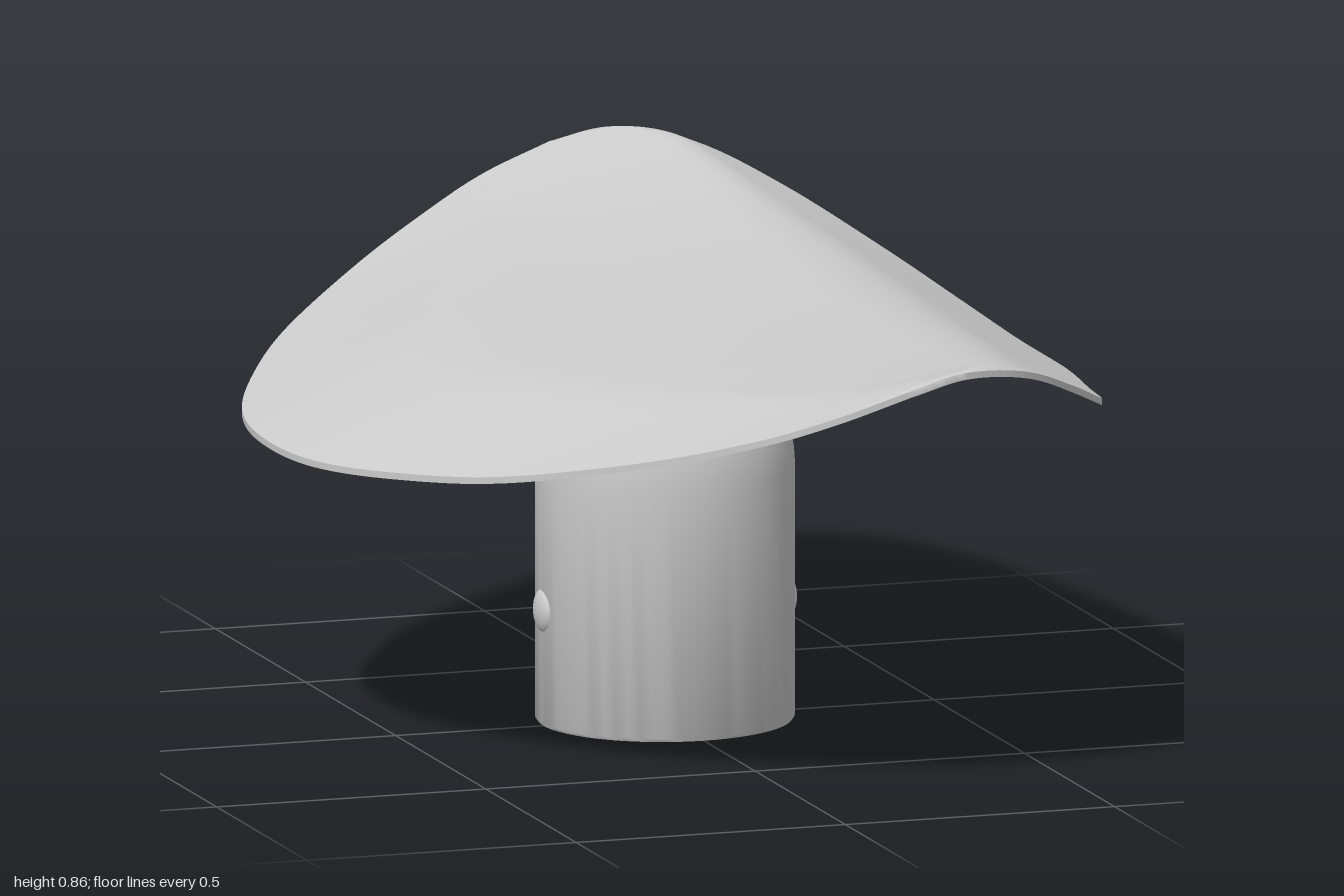
import * as THREE from 'three';
import { toCreasedNormals } from 'three/addons/utils/BufferGeometryUtils.js';

// Half of the canopy, one row per station along z:
// z, then x,y of the left rim, left fold, right fold and right rim
const STATIONS = [
  [0.00, -0.745, 0.550, -0.39, 0.683, 0.42, 0.750, 0.745, 0.580],
  [0.20, -0.718, 0.553, -0.36, 0.688, 0.42, 0.753, 0.722, 0.590],
  [0.40, -0.630, 0.570, -0.26, 0.700, 0.41, 0.762, 0.675, 0.623],
  [0.60, -0.500, 0.600, -0.13, 0.720, 0.385, 0.777, 0.605, 0.672],
  [0.80, -0.300, 0.658, 0.03, 0.758, 0.35, 0.805, 0.490, 0.745],
  [0.92, -0.135, 0.712, 0.12, 0.797, 0.31, 0.828, 0.365, 0.805],
  [0.98, -0.010, 0.758, 0.14, 0.810, 0.22, 0.828, 0.235, 0.825],
  [1.00, 0.120, 0.803, 0.12, 0.803, 0.12, 0.803, 0.120, 0.803],
];
const TILT = 0.033; // the back end sits a little higher than the front
const THICKNESS = 0.012;

// Lengthwise guide curve through one column of the stations
function guide(k) {
  const point = (s, side) =>
    new THREE.Vector3(s[1 + 2 * k], s[2 + 2 * k] - TILT * s[0] * side, s[0] * side);
  const back = STATIONS.slice(1).reverse().map((s) => point(s, -1));
  const front = STATIONS.map((s) => point(s, 1));
  return new THREE.CatmullRomCurve3([...back, ...front], false, 'catmullrom', 0.5);
}

// Small rounded bend between two panels
function bend(before, corner, after) {
  return new THREE.QuadraticBezierCurve3(
    corner.clone().lerp(before, 0.25), corner, corner.clone().lerp(after, 0.15)).getPoints(6);
}

function canopyGeometry() {
  const guides = [0, 1, 2, 3].map(guide);
  const rows = 112;
  const positions = [], index = [];
  let n = 0;
  for (let i = 0; i <= rows; i++) {
    const [l, fl, fr, r] = guides.map((g) => g.getPoint(i / rows));
    const top = [
      l, l.clone().lerp(fl, 0.4),
      ...bend(l, fl, fr),
      fl.clone().lerp(fr, 0.5),
      ...bend(r, fr, fl).reverse(),
      r.clone().lerp(fr, 0.4), r,
    ];
    const bottom = top.map((p) => p.clone().setY(p.y - THICKNESS)).reverse();
    const loop = [...top, ...bottom];
    n = loop.length;
    loop.forEach((p) => positions.push(p.x, p.y, p.z));
  }
  for (let i = 0; i < rows; i++) {
    for (let j = 0; j < n; j++) {
      const a = i * n + j, b = i * n + (j + 1) % n;
      index.push(a, a + n, b, b, a + n, b + n);
    }
  }
  const g = new THREE.BufferGeometry();
  g.setAttribute('position', new THREE.Float32BufferAttribute(positions, 3));
  g.setIndex(index);
  return toCreasedNormals(g, 0.7);
}

function postGeometry() {
  // Straight shaft, then an elliptical dome that stops inside the canopy
  const profile = [new THREE.Vector2(0, 0), new THREE.Vector2(0.226, 0),
    new THREE.Vector2(0.23, 0.006)];
  const maxAngle = Math.asin(0.25 / 0.28);
  for (let i = 0; i <= 16; i++) {
    const a = maxAngle * i / 16;
    profile.push(new THREE.Vector2(0.23 * Math.cos(a), 0.45 + 0.28 * Math.sin(a)));
  }
  profile.push(new THREE.Vector2(0, 0.702));
  const g = new THREE.LatheGeometry(profile, 64);
  g.scale(1, 1, 0.955);
  return toCreasedNormals(g, 0.6);
}

export function createModel() {
  const model = new THREE.Group();
  model.name = 'foldedCanopyOnPost';
  const grey = new THREE.MeshStandardMaterial({ color: 0xcccccc });
  grey.name = 'lightGrey';

  const add = (name, geometry) => {
    const mesh = new THREE.Mesh(geometry, grey);
    mesh.name = name;
    model.add(mesh);
    return mesh;
  };

  add('canopy', canopyGeometry());
  add('post', postGeometry());

  // Small locating bumps on both sides of the post
  for (const side of [-1, 1]) {
    const bump = add(side > 0 ? 'leftBump' : 'rightBump', new THREE.SphereGeometry(1, 24, 16));
    bump.scale.set(0.018, 0.04, 0.04);
    bump.position.set(side * 0.223, 0.207, 0);
  }
  return model;
}
